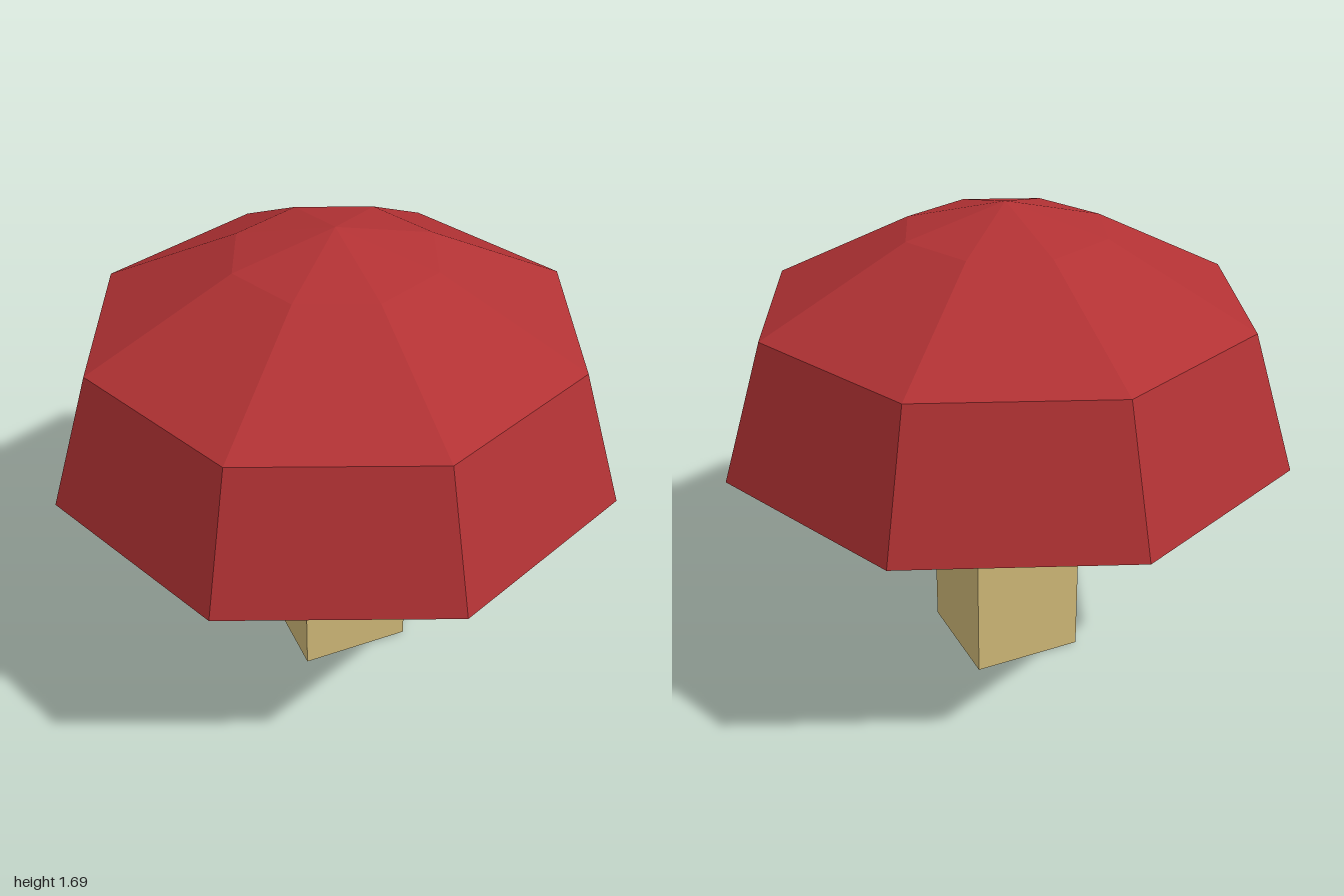
import * as THREE from 'three';

function material(name, color) {
  const m = new THREE.MeshStandardMaterial({ color, flatShading: true });
  m.name = name;
  return m;
}

export function createModel() {
  const group = new THREE.Group();
  group.name = 'mushroom';

  // Eight-sided cap: shallow hollow underside, steep rim, low dome
  const profile = [
    [0, 1.0], [0.55, 0.97], [1, 0.88],
    [0.85, 1.345], [0.35, 1.6], [0, 1.69],
  ].map(([r, y]) => new THREE.Vector2(r, y));
  const cap = new THREE.Mesh(new THREE.LatheGeometry(profile, 8), material('cap red', 0xb23234));
  cap.name = 'cap';
  group.add(cap);

  // Square stem, reaching up into the hollow of the cap
  const stemHeight = 1.0;
  const stem = new THREE.Mesh(new THREE.BoxGeometry(0.4, stemHeight, 0.4), material('stem tan', 0xd2bb79));
  stem.name = 'stem';
  stem.position.y = stemHeight / 2;
  group.add(stem);

  return group;
}
